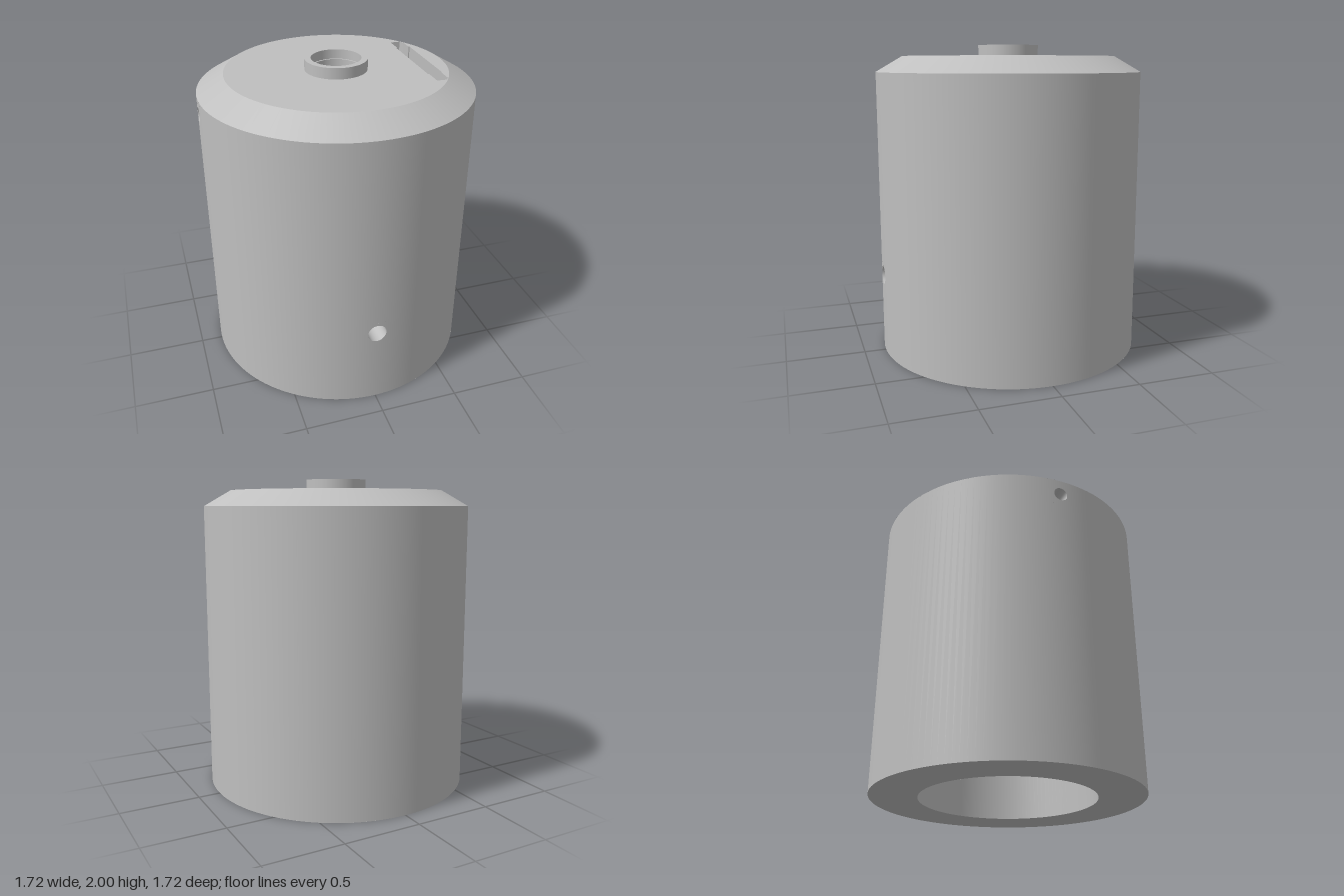
import * as THREE from 'three';
import { mergeGeometries } from 'three/addons/utils/BufferGeometryUtils.js';

const R = 0.86, INNER = 0.56, SHOULDER = 1.83, TOP = 1.93, ROOF = 1.63;
const PANEL = 0.08; // half size of the wall panel around each hole
const frontHole = { angle: 0, y: 0.52, r: 0.06 };
const sideHole = { angle: -Math.PI / 2, y: 1.73, r: 0.045 };

// Square panel with a round hole, bent onto a cylinder of radius rad
function holedPanel(rad, { angle, y, r }) {
  const g = new THREE.RingGeometry(r, PANEL, 32, 4);
  const p = g.attributes.position, n = g.attributes.normal;
  for (let i = 0; i < p.count; i++) {
    const a = Math.atan2(p.getY(i), p.getX(i));
    const d = Math.hypot(p.getX(i), p.getY(i));
    const edge = PANEL / Math.max(Math.abs(Math.cos(a)), Math.abs(Math.sin(a)));
    const k = r + (edge - r) * (d - r) / (PANEL - r);
    const x = k * Math.cos(a), z = Math.sqrt(rad * rad - x * x);
    p.setXYZ(i, x, y + k * Math.sin(a), z);
    n.setXYZ(i, x / rad, 0, z / rad);
  }
  return g.rotateY(angle);
}

// Cylindrical wall from y0 to y1 with holes, listed by rising angle
function holedWall(rad, y0, y1, holes) {
  const half = Math.asin(PANEL / rad), parts = [];
  const strip = (a, b, start, length) => {
    const n = Math.max(4, Math.ceil(length * 20));
    parts.push(new THREE.CylinderGeometry(rad, rad, b - a, n, 1, true, start, length).translate(0, (a + b) / 2, 0));
  };
  holes.forEach((h, i) => {
    const next = i + 1 < holes.length ? holes[i + 1].angle : holes[0].angle + 2 * Math.PI;
    strip(y0, y1, h.angle + half, next - h.angle - 2 * half);
    strip(y0, h.y - PANEL, h.angle - half, 2 * half);
    strip(h.y + PANEL, y1, h.angle - half, 2 * half);
    parts.push(holedPanel(rad, h));
  });
  return mergeGeometries(parts);
}

// Lining of a radial hole, trimmed to the outer and inner walls
function holeLining({ angle, y, r }) {
  const g = new THREE.CylinderGeometry(r, r, 1, 32, 1, true).rotateX(Math.PI / 2);
  const p = g.attributes.position;
  for (let i = 0; i < p.count; i++) {
    const rad = p.getZ(i) > 0 ? R : INNER;
    p.setZ(i, Math.sqrt(rad * rad - p.getX(i) ** 2));
  }
  return g.translate(0, y, 0).rotateY(angle);
}

// Recess walls and floor below an outline; the floor may have an opening
function pocket(outline, y0, y1, opening) {
  const pos = [];
  outline.forEach((a, i) => {
    const b = outline[(i + 1) % outline.length];
    const A = [a.x, y1, -a.y], B = [b.x, y1, -b.y], C = [b.x, y0, -b.y], D = [a.x, y0, -a.y];
    pos.push(...A, ...B, ...C, ...A, ...C, ...D);
  });
  const walls = new THREE.BufferGeometry();
  walls.setAttribute('position', new THREE.Float32BufferAttribute(pos, 3));
  walls.computeVertexNormals();
  const shape = new THREE.Shape(outline);
  if (opening) shape.holes.push(new THREE.Path(opening));
  const floor = new THREE.ShapeGeometry(shape).rotateX(-Math.PI / 2).translate(0, y0, 0).toNonIndexed();
  floor.deleteAttribute('uv');
  return mergeGeometries([walls, floor]);
}

export function createModel() {
  const group = new THREE.Group();
  const grey = new THREE.MeshStandardMaterial({ color: 0xbfbfbf, side: THREE.DoubleSide });
  grey.name = 'grey';
  const add = (name, geometry) => {
    const mesh = new THREE.Mesh(geometry, grey);
    mesh.name = name;
    group.add(mesh);
  };

  // Main walls
  add('outerWall', holedWall(R, 0, SHOULDER, [sideHole, frontHole]));
  add('innerWall', holedWall(INNER, 0, ROOF, [frontHole]));

  // Turned surfaces, each with sharp borders
  const turned = {
    shoulder: [R, SHOULDER, 0.69, TOP],
    collarSide: [0.195, TOP, 0.195, 2],
    collarRim: [0.195, 2, 0.155, 2],
    counterbore: [0.155, 2, 0.155, 1.94],
    boreLedge: [0.155, 1.94, 0.145, 1.94],
    bore: [0.145, 1.94, 0.145, ROOF],
    cavityRoof: [0.145, ROOF, INNER, ROOF],
    baseRing: [INNER, 0, R, 0],
  };
  for (const [name, [r0, y0, r1, y1]] of Object.entries(turned)) {
    add(name, new THREE.LatheGeometry([new THREE.Vector2(r0, y0), new THREE.Vector2(r1, y1)], 128));
  }

  // Top face with the collar opening and the slot
  const toPoints = list => list.map(([x, y]) => new THREE.Vector2(x, y));
  const upper = [[0.595, 0.26], [0.588, 0.26], [0.588, 0.353], [0.571, 0.38], [0.507, 0.38], [0.507, 0.26], [0.5, 0.26]];
  const slot = toPoints([...upper, ...upper.map(([x, y]) => [x, -y]).reverse()]);
  const middle = toPoints([[0.588, 0.255], [0.507, 0.255], [0.507, -0.255], [0.588, -0.255]]);
  const top = new THREE.Shape().absarc(0, 0, 0.69, 0, 2 * Math.PI);
  top.holes.push(new THREE.Path().absarc(0, 0, 0.195, 0, 2 * Math.PI, true), new THREE.Path(slot));
  add('topFace', new THREE.ShapeGeometry(top, 128).rotateX(-Math.PI / 2).translate(0, TOP, 0));
  add('slot', pocket(slot, TOP - 0.1, TOP, middle));
  add('slotMiddle', pocket(middle, TOP - 0.2, TOP - 0.1));

  // Front through hole and blind side hole
  add('frontHole', holeLining(frontHole));
  add('sideHole', holeLining(sideHole));
  add('sideHoleEnd', new THREE.CircleGeometry(sideHole.r, 32).translate(0, sideHole.y, INNER).rotateY(sideHole.angle));

  return group;
}
